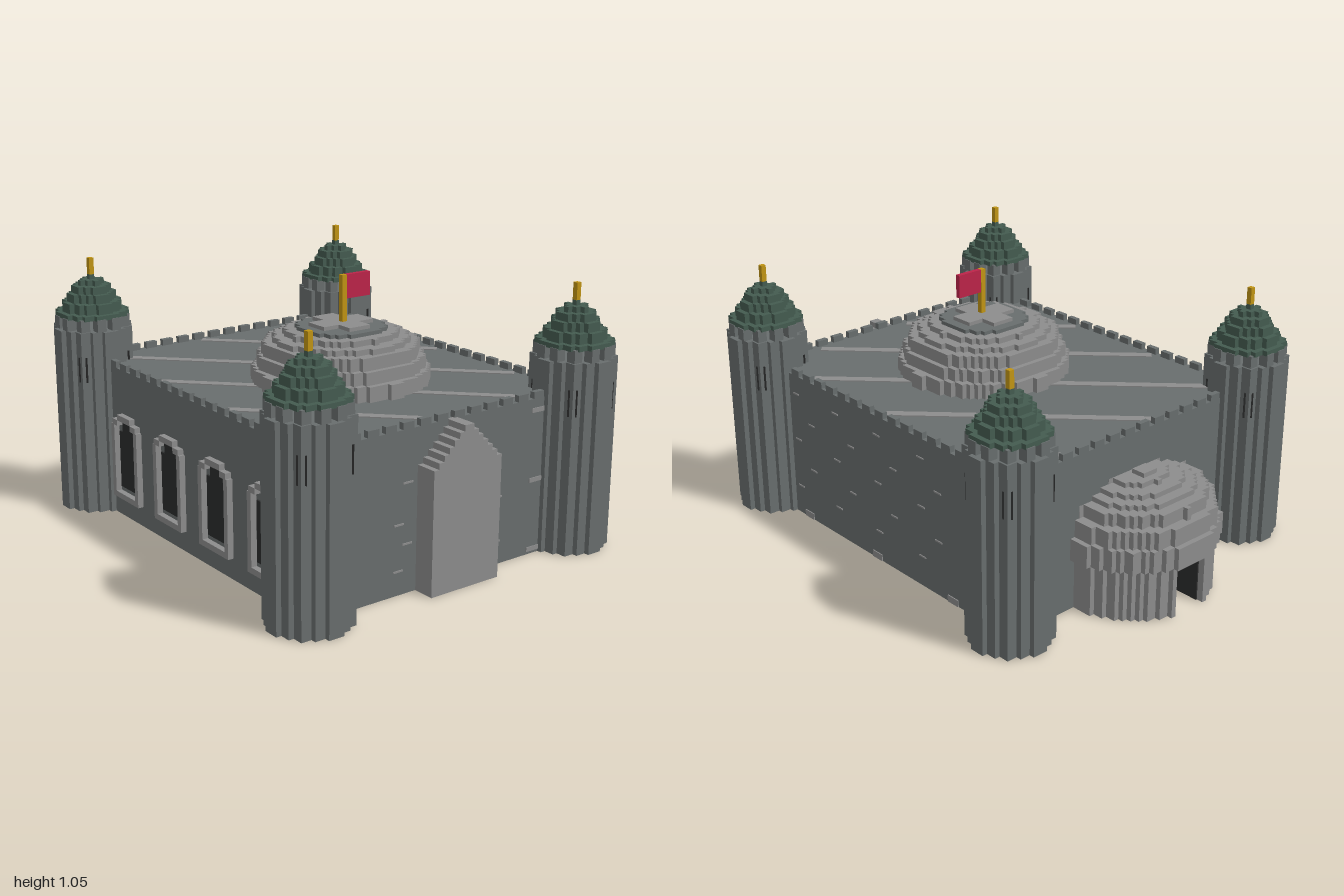
import * as THREE from 'three';

const V = 0.0215; // block size used for all stepped outlines
const mat = (name, color) => {
  const m = new THREE.MeshStandardMaterial({ color });
  m.name = name;
  return m;
};

export function createModel() {
  const stone = mat('dark stone', 0x686d6d);
  const light = mat('light stone', 0x8c8c8c);
  const green = mat('roof green', 0x445b50);
  const gold = mat('gold', 0xc09414);
  const red = mat('flag red', 0xbc2449);
  const dark = mat('opening', 0x2b2c2c);

  const model = new THREE.Group();
  model.name = 'castle';

  const add = (parent, name, geo, m, x = 0, y = 0, z = 0) => {
    const mesh = new THREE.Mesh(geo, m);
    mesh.name = name;
    mesh.position.set(x, y, z);
    parent.add(mesh);
    return mesh;
  };
  const box = (parent, name, m, w, h, d, x, y, z) =>
    add(parent, name, new THREE.BoxGeometry(w, h, d), m, x, y, z);
  const group = (name, x = 0, y = 0, z = 0) => {
    const g = new THREE.Group();
    g.name = name;
    g.position.set(x, y, z);
    model.add(g);
    return g;
  };

  // Stepped disc rising from y = 0; half keeps the back half, notch cuts a doorway
  function disc(r, h, half = false, notch = 0) {
    const n = Math.round(r / V - 0.5);
    const low = [], high = [];
    for (let i = -n; i <= n; i++) {
      let d = (Math.floor(Math.sqrt(Math.max(0, r * r - i * i * V * V)) / V) + 0.5) * V;
      if (Math.abs(i) < notch) d = 0.18;
      const a = (i - 0.5) * V, b = (i + 0.5) * V;
      if (!half) low.push(new THREE.Vector2(a, -d), new THREE.Vector2(b, -d));
      high.unshift(new THREE.Vector2(b, d), new THREE.Vector2(a, d));
    }
    if (half) low.push(new THREE.Vector2(-(n + 0.5) * V, 0), new THREE.Vector2((n + 0.5) * V, 0));
    const geo = new THREE.ExtrudeGeometry(new THREE.Shape([...low, ...high]), { depth: h, bevelEnabled: false });
    return geo.rotateX(-Math.PI / 2);
  }

  // Main hall
  box(model, 'hall', stone, 1.28, 0.63, 1.53, 0, 0.315, 0.095);

  // Merlons round the roof edge
  const merlons = group('merlons');
  for (let x = -0.44; x < 0.46; x += 0.08)
    for (const z of [-0.659, 0.849]) box(merlons, 'merlon', stone, 0.05, 0.028, 0.022, x, 0.642, z);
  for (let z = -0.48; z < 0.69; z += 0.08)
    for (const x of [-0.629, 0.629]) box(merlons, 'merlon', stone, 0.022, 0.028, 0.05, x, 0.642, z);

  // Diagonal light bands on the roof, along z = x + c
  const bands = group('roofBands');
  for (const c of [-0.98, -0.51, -0.04, 0.42, 0.88]) {
    const x0 = Math.max(-0.6, -0.63 - c), x1 = Math.min(0.6, 0.81 - c), mid = (x0 + x1) / 2;
    const band = box(bands, 'roofBand', light, (x1 - x0) * Math.SQRT2, 0.006, 0.038, mid, 0.631, mid + c);
    band.rotation.y = -Math.PI / 4;
  }

  // Stepped roof dome
  const dome = group('dome', 0, 0, 0.203);
  const domeSteps = [
    [0.345, 0.62, 0.69], [0.322, 0.69, 0.74], [0.3, 0.74, 0.79],
    [0.262, 0.79, 0.812], [0.215, 0.812, 0.835],
  ];
  for (const [r, y0, y1] of domeSteps) add(dome, 'domeStep', disc(r, y1 - y0), light, 0, y0);
  add(dome, 'domeRing', disc(0.17, 0.015), stone, 0, 0.835);
  box(dome, 'domeCap', light, 0.24, 0.022, 0.1, 0, 0.854, 0);
  box(dome, 'domeCap', light, 0.1, 0.022, 0.24, 0, 0.854, 0);

  // Flag
  box(model, 'flagpole', gold, 0.022, 0.2, 0.022, 0, 0.95, 0.215);
  box(model, 'flag', red, 0.114, 0.095, 0.02, 0.068, 1.0025, 0.215);

  // Corner towers
  const roofSteps = [
    [0.14, 0.815, 0.835], [0.115, 0.835, 0.875], [0.09, 0.875, 0.91],
    [0.07, 0.91, 0.94], [0.045, 0.94, 0.962], [0.012, 0.962, 0.982],
  ];
  for (const x of [-0.63, 0.63]) for (const z of [-0.66, 0.847]) {
    const t = group('tower', x, 0, z);
    add(t, 'towerShaft', disc(0.153, 0.77), stone);
    for (let i = 0; i < 12; i++) {
      const a = (i + 0.5) * Math.PI / 6;
      box(t, 'towerMerlon', stone, 0.04, 0.05, 0.04, 0.128 * Math.cos(a), 0.795, 0.128 * Math.sin(a));
    }
    for (let i = 0; i < 4; i++) {
      const a = Math.PI / 4 + i * Math.PI / 2;
      const slit = box(t, 'arrowSlit', dark, 0.036, 0.105, 0.02, 0.146 * Math.sin(a), 0.615, 0.146 * Math.cos(a));
      slit.rotation.y = a;
    }
    for (const [r, y0, y1] of roofSteps) add(t, 'towerRoof', disc(r, y1 - y0), green, 0, y0);
    box(t, 'finial', gold, 0.021, 0.072, 0.021, 0, 1.014, 0);
  }

  // Pointed front gate with a stepped gable
  const gate = new THREE.Shape();
  gate.moveTo(-0.1625, 0);
  gate.lineTo(0.1625, 0);
  const steps = [];
  for (let i = 0; i < 7; i++) {
    const x = 0.1625 - i * 0.0235, y = 0.487 + i * 0.024;
    steps.push([x, y], [x - (i < 6 ? 0.0235 : 0), y]);
  }
  for (const [x, y] of steps) gate.lineTo(x, y);
  for (const [x, y] of steps.reverse()) gate.lineTo(-x, y);
  add(model, 'gate', new THREE.ExtrudeGeometry(gate, { depth: 0.1, bevelEnabled: false }), light, 0.0075, 0, 0.85);

  // Rounded apse at the back with a doorway
  const apse = group('apse', 0.008, 0, -0.66);
  const apseSteps = [
    [0.315, 0, 0.21, 4], [0.335, 0.21, 0.3, 0], [0.318, 0.3, 0.37, 0], [0.28, 0.37, 0.42, 0],
    [0.235, 0.42, 0.44, 0], [0.185, 0.44, 0.46, 0], [0.13, 0.46, 0.48, 0],
  ];
  for (const [r, y0, y1, notch] of apseSteps) add(apse, 'apseStep', disc(r, y1 - y0, true, notch), light, 0, y0);
  box(apse, 'apseDoor', dark, 7 * V, 0.208, 0.008, 0, 0.105, -0.184);
  for (const s of [-1, 1]) box(apse, 'doorReveal', dark, 0.006, 0.208, 0.1, s * 0.072, 0.105, -0.235);
  box(apse, 'apseCap', light, 0.07, 0.02, 0.06, 0, 0.488, -0.06);

  // Framed windows along the right wall
  for (const z of [-0.37, -0.04, 0.29, 0.62]) {
    const w = group('window', -0.64, 0, z);
    box(w, 'windowPane', dark, 0.008, 0.24, 0.13, -0.003, 0.25, 0);
    box(w, 'windowPane', dark, 0.008, 0.04, 0.08, -0.003, 0.39, 0);
    for (const s of [-1, 1]) {
      box(w, 'windowJamb', light, 0.03, 0.3, 0.024, -0.01, 0.25, s * 0.088);
      box(w, 'windowShoulder', light, 0.03, 0.024, 0.04, -0.01, 0.41, s * 0.07);
    }
    box(w, 'windowHead', light, 0.03, 0.024, 0.1, -0.01, 0.434, 0);
    box(w, 'windowSill', light, 0.03, 0.024, 0.2, -0.01, 0.098, 0);
  }

  // Scattered pale bricks and footing stones
  const bricks = group('bricks');
  [0.55, 0.44, 0.345, 0.235, 0.13].forEach((y, row) => {
    for (let i = 0; i < 4; i++)
      box(bricks, 'sideBrick', light, 0.005, 0.006, 0.04, 0.641, y, 0.64 - i * 0.27 - (row % 2) * 0.1);
  });
  for (const z of [0.59, 0.12, -0.35]) box(bricks, 'footing', light, 0.006, 0.028, 0.06, 0.641, 0.014, z);
  for (const [x, y] of [[0.2, 0.43], [0.24, 0.275], [0.2, 0.195], [0.24, 0.095]])
    for (const s of [-1, 1]) box(bricks, 'frontBrick', light, 0.045, 0.007, 0.005, s * x, y, 0.861);
  for (const y of [0.515, 0.235]) box(bricks, 'frontBrick', light, 0.018, 0.018, 0.005, -0.445, y, 0.861);
  for (const y of [0.585, 0.305, 0.02]) box(bricks, 'frontBrick', light, 0.07, 0.018, 0.005, 0.44, y, 0.861);

  return model;
}
